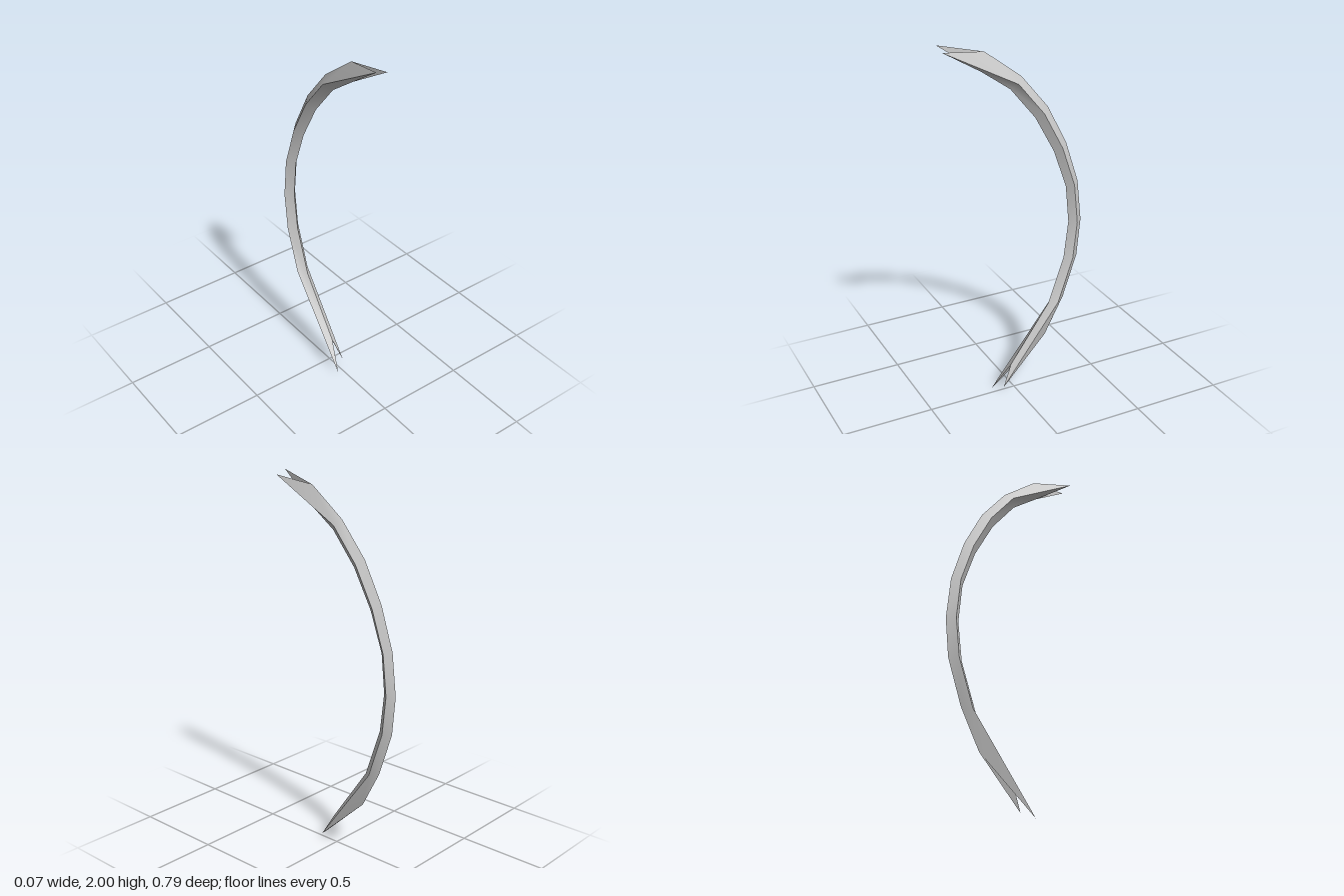
import * as THREE from 'three';

// [z, y] of the outer (back) and inner (front) ridge, top to bottom
const OUTER = [[0.16, 1.95], [-0.04, 1.8], [-0.19, 1.62], [-0.3, 1.41], [-0.375, 1.18],
  [-0.4, 0.95], [-0.38, 0.74], [-0.3, 0.5], [-0.19, 0.29]];
const INNER = [[0.175, 1.85], [0.02, 1.74], [-0.12, 1.57], [-0.23, 1.37], [-0.305, 1.16],
  [-0.325, 0.95], [-0.3, 0.74], [-0.21, 0.48], [0.02, 0.15]];
// [x, y, z] of the forked tips
const TIPS = { top: { 1: [0.03, 1.98, 0.39], '-1': [-0.037, 2, 0.393] },
  bottom: { 1: [0.033, 0.035, 0.08], '-1': [-0.033, 0, 0.125] } };

const LAST = OUTER.length - 1;
const ridge = (list) => list.map(([z, y]) => [0.004, y, z]);

// Side edge: halfway between the ridges, running out into a tip at each end
function sideEdge(s) {
  return OUTER.map(([z, y], i) => {
    if (i === 0) return TIPS.top[s];
    if (i === LAST) return TIPS.bottom[s];
    return [s * 0.035, (y + INNER[i][1]) / 2, (z + INNER[i][0]) / 2];
  });
}

function makeMesh(name, points, index, material) {
  const g = new THREE.BufferGeometry();
  g.setAttribute('position', new THREE.Float32BufferAttribute(points.flat(), 3));
  g.setIndex(index);
  g.computeVertexNormals();
  const mesh = new THREE.Mesh(g, material);
  mesh.name = name;
  return mesh;
}

// Strip between two edges; diagonals lean away from the tips
function strip(name, a, b, aIsRidge, material) {
  const n = a.length, index = [];
  for (let i = 0; i < LAST; i++) {
    const a0 = i, a1 = i + 1, b0 = n + i, b1 = n + i + 1;
    if (aIsRidge === (i < LAST / 2)) index.push(a0, b0, b1, a0, b1, a1);
    else index.push(a0, b0, a1, b0, b1, a1);
  }
  return makeMesh(name, [...a, ...b], index, material);
}

export function createModel() {
  const model = new THREE.Group();
  model.name = 'curvedStrand';
  const material = new THREE.MeshStandardMaterial({ color: 0xcccccc, side: THREE.DoubleSide });

  // Four long faces of the diamond section
  const outer = ridge(OUTER), inner = ridge(INNER);
  const left = sideEdge(1), right = sideEdge(-1);
  model.add(
    strip('backLeftFace', outer, left, true, material),
    strip('frontLeftFace', left, inner, false, material),
    strip('frontRightFace', inner, right, true, material),
    strip('backRightFace', right, outer, false, material));

  // Inner walls of the forked ends
  for (const [end, i] of [['top', 0], ['bottom', LAST]]) {
    for (const [side, edge, s] of [['Left', left, 1], ['Right', right, -1]]) {
      const order = (s > 0) === (i === 0) ? [0, 1, 2] : [0, 2, 1];
      model.add(makeMesh(end + side + 'ForkWall', [outer[i], inner[i], edge[i]], order, material));
    }
  }
  return model;
}
